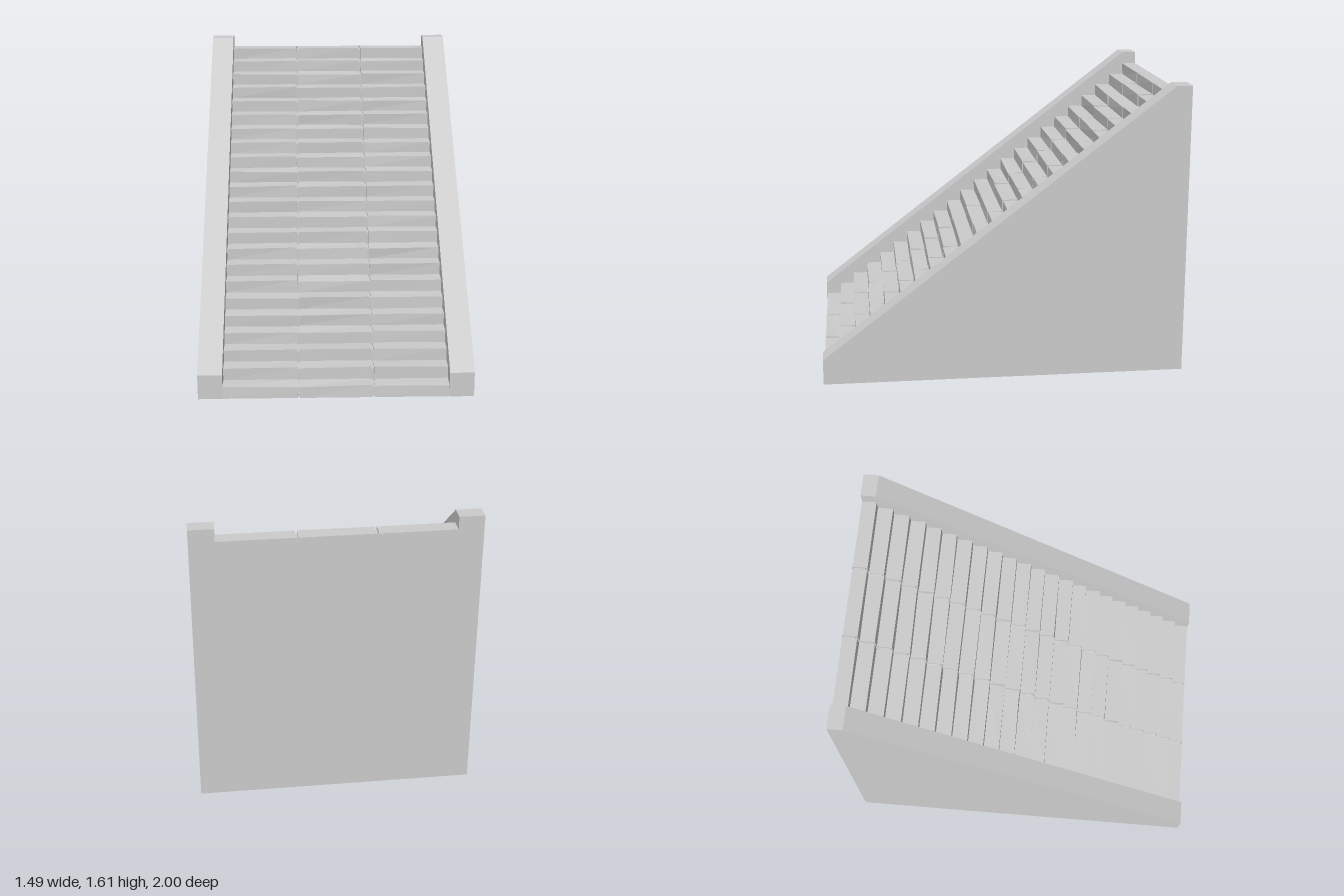
import * as THREE from 'three';

const STEPS = 23, RISE = 1.54 / STEPS, RUN = 0.087;
const OUTER = 0.745, INNER = 0.612;
const material = new THREE.MeshStandardMaterial({ color: 0xcccccc, flatShading: true, side: THREE.DoubleSide });

// Small seeded generator, returns -1..1
let seed = 7;
function jitter(amount) {
  seed = (seed * 16807) % 2147483647;
  return (seed / 2147483647 * 2 - 1) * amount;
}

function addMesh(group, name, geometry) {
  const mesh = new THREE.Mesh(geometry, material);
  mesh.name = name;
  group.add(mesh);
}

// Surface across sections { x, pts: [[z, y], ...] } ordered by rising x
function loft(sections) {
  const pos = [];
  for (let s = 0; s < sections.length - 1; s++) {
    const a = sections[s], b = sections[s + 1];
    for (let i = 0; i < a.pts.length - 1; i++) {
      const at = (sec, k) => [sec.x, sec.pts[k][1], sec.pts[k][0]];
      pos.push(...at(a, i), ...at(b, i), ...at(b, i + 1));
      pos.push(...at(a, i), ...at(b, i + 1), ...at(a, i + 1));
    }
  }
  const g = new THREE.BufferGeometry();
  g.setAttribute('position', new THREE.Float32BufferAttribute(pos, 3));
  g.computeVertexNormals();
  return g;
}

const ribbon = (x0, x1, pts) => loft([{ x: x0, pts }, { x: x1, pts }]);

// Flat sheet at constant x from a [z, y] outline; facing is +1 or -1 along x
function sheet(x, pts, facing) {
  const shape = new THREE.Shape(pts.map(([z, y]) => new THREE.Vector2(-z * facing, y)));
  return new THREE.ShapeGeometry(shape).rotateY(facing * Math.PI / 2).translate(x, 0, 0);
}

// Zigzag stair section, slightly uneven like worn stone
function stairSection(x, wear, recess = 0) {
  const pts = [[0.998 - recess, 0]];
  for (let i = 0; i < STEPS; i++) {
    const z = 0.995 - i * RUN - recess;
    if (i > 0) pts.push([z + jitter(wear * 0.6), i * RISE - recess + jitter(wear * 0.6)]);
    pts.push([z + jitter(wear * 0.6), (i + 1) * RISE - recess + jitter(i < STEPS - 1 ? wear : 0)]);
  }
  pts.push([-1, STEPS * RISE - recess]);
  return { x, pts };
}

export function createModel() {
  const model = new THREE.Group();
  model.name = 'stoneStaircase';

  // Three columns of steps, parted by two narrow recessed joints
  const wear = 0.005;
  const sections = [stairSection(-INNER, wear * 0.5)];
  for (const x of [-0.202, 0.203]) {
    sections.push(
      stairSection(x - 0.006, wear), stairSection(x - 0.006, wear * 0.4, 0.012),
      stairSection(x + 0.006, wear * 0.4, 0.012), stairSection(x + 0.006, wear));
  }
  sections.push(stairSection(INNER, wear * 0.5));
  addMesh(model, 'steps', loft(sections));

  // Sloping side walls: outer face, cap with front end, and inner face above the steps
  const cap = [[1, 0], [1, 0.14], [-0.915, 1.61], [-1, 1.61]];
  for (const side of [1, -1]) {
    const wall = new THREE.Group();
    wall.name = side > 0 ? 'leftWall' : 'rightWall';
    const edge = (side > 0 ? sections[sections.length - 1] : sections[0]).pts;
    addMesh(wall, 'outerFace', sheet(side * OUTER, [...cap, [-1, 0]], side));
    addMesh(wall, 'innerFace', sheet(side * INNER, [...cap, ...[...edge].reverse()], -side));
    const [x0, x1] = side > 0 ? [INNER, OUTER] : [-OUTER, -INNER];
    addMesh(wall, 'cap', ribbon(x0, x1, [...cap, [-1, 0]]));
    model.add(wall);
  }

  // Back wall between the side walls; the underside stays open
  addMesh(model, 'backWall', ribbon(-INNER, INNER, [[-1, STEPS * RISE], [-1, 0]]));
  return model;
}
